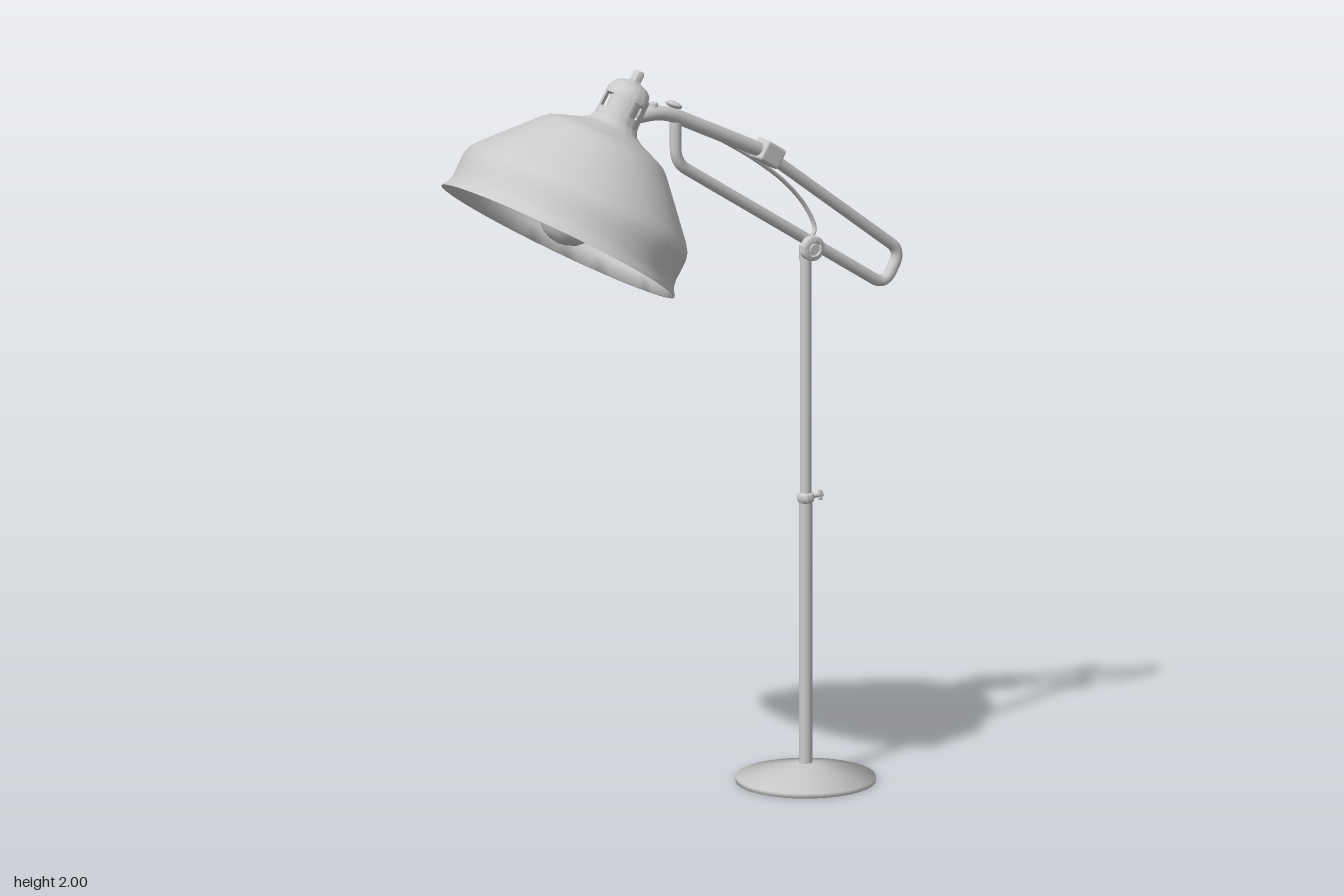
import * as THREE from 'three';
import { toCreasedNormals } from 'three/addons/utils/BufferGeometryUtils.js';
import { RoundedBoxGeometry } from 'three/addons/geometries/RoundedBoxGeometry.js';

const grey = new THREE.MeshStandardMaterial({ color: 0xcccccc });
const thin = new THREE.MeshStandardMaterial({ color: 0xcccccc, side: THREE.DoubleSide });
const V = (x, y, z = 0) => new THREE.Vector3(x, y, z);

function add(parent, name, geometry, position = [0, 0, 0], rotation = [0, 0, 0], material = grey) {
  const mesh = new THREE.Mesh(geometry, material);
  mesh.name = name;
  mesh.position.set(...position);
  mesh.rotation.set(...rotation);
  parent.add(mesh);
  return mesh;
}

// Turned part from [radius, height] pairs, listed from bottom to top
function turned(profile, segments = 48, start = 0, sweep = Math.PI * 2, crease = 0.8) {
  const points = profile.map(([r, y]) => new THREE.Vector2(r, y));
  return toCreasedNormals(new THREE.LatheGeometry(points, segments, start, sweep), crease);
}

// Polyline whose corners are rounded by the radius r
function roundedPath(points, r) {
  const path = new THREE.CurvePath();
  let from = points[0];
  for (let i = 1; i < points.length - 1; i++) {
    const p = points[i];
    const a = p.clone().add(points[i - 1].clone().sub(p).setLength(r));
    const b = p.clone().add(points[i + 1].clone().sub(p).setLength(r));
    path.add(new THREE.LineCurve3(from, a));
    path.add(new THREE.QuadraticBezierCurve3(a, p, b));
    from = b;
  }
  path.add(new THREE.LineCurve3(from, points[points.length - 1]));
  return path;
}

function makeStand() {
  const stand = new THREE.Group();
  stand.name = 'stand';
  stand.position.x = 0.388;
  // The base is shaded softly over its thin rim
  add(stand, 'base', turned([[0, 0], [0.183, 0], [0.183, 0.012], [0, 0.053]], 48, 0, Math.PI * 2, 1.8));
  add(stand, 'lowerPole', new THREE.CylinderGeometry(0.0172, 0.0172, 0.72, 24), [0, 0.405, 0]);
  add(stand, 'upperPole', new THREE.CylinderGeometry(0.0152, 0.0152, 0.69, 24), [0, 1.095, 0]);
  // Height clamp with its thumb screw
  add(stand, 'clampCollar', turned([[0.016, 0.75], [0.021, 0.754], [0.023, 0.764], [0.021, 0.774], [0.015, 0.778]], 24));
  add(stand, 'clampScrew', new THREE.CylinderGeometry(0.006, 0.006, 0.04, 12), [0.034, 0.764, 0], [0, 0, Math.PI / 2]);
  add(stand, 'clampWing', new RoundedBoxGeometry(0.01, 0.028, 0.012, 2, 0.003), [0.047, 0.764, 0]);
  // Pivot holding the arm
  add(stand, 'pivotPin', new THREE.CylinderGeometry(0.013, 0.013, 0.03, 24), [0, 1.443, 0.012], [Math.PI / 2, 0, 0]);
  add(stand, 'pivotKnob', turned([[0, 0], [0.033, 0], [0.033, 0.018], [0.029, 0.021], [0.021, 0.021],
    [0.019, 0.016], [0.013, 0.016], [0.012, 0.021], [0, 0.021]], 32), [0, 1.443, 0.02], [Math.PI / 2, 0, 0]);
  add(stand, 'pivotSocket', new THREE.CylinderGeometry(0.0175, 0.0175, 0.04, 24), [0, 1.425, 0]);
  return stand;
}

function makeArm() {
  const arm = new THREE.Group();
  arm.name = 'arm';
  // Long bent loop of tube
  const loop = roundedPath([V(-0.03, 1.845), V(-0.03, 1.733), V(0.641, 1.298), V(0.693, 1.383), V(0.25, 1.72)], 0.04);
  add(arm, 'loopTube', new THREE.TubeGeometry(loop, 160, 0.0155, 16, false));
  // Thicker sleeve reaching the lamp head
  const sleeve = roundedPath([V(-0.17, 1.877), V(-0.07, 1.879), V(0.25, 1.721)], 0.05);
  add(arm, 'sleeveTube', new THREE.TubeGeometry(sleeve, 60, 0.0192, 20, false));
  add(arm, 'slidingCollar', new RoundedBoxGeometry(0.07, 0.056, 0.056, 3, 0.008), [0.266, 1.712, 0], [0, 0, -0.58]);
  // Screws on top of the elbow
  add(arm, 'elbowScrewStem', new THREE.CylinderGeometry(0.007, 0.007, 0.04, 12), [-0.036, 1.873, 0], [0, 0, -0.46]);
  add(arm, 'elbowScrewHead', new THREE.SphereGeometry(0.023, 20, 10).scale(1, 0.4, 1), [-0.032, 1.889, -0.005], [0, 0, -0.46]);
  add(arm, 'elbowBolt', new THREE.CylinderGeometry(0.012, 0.014, 0.01, 16), [-0.1, 1.9, -0.003]);
  // Slack cable behind the arm
  const cable = new THREE.CatmullRomCurve3([V(0.1, 1.785, -0.016), V(0.25, 1.69, -0.032), V(0.36, 1.605, -0.047),
    V(0.43, 1.525, -0.054), V(0.45, 1.468, -0.046), V(0.42, 1.447, -0.03), V(0.388, 1.443, -0.01)]);
  add(arm, 'cable', new THREE.TubeGeometry(cable, 64, 0.0058, 8, false));
  return arm;
}

function makeHead() {
  const head = new THREE.Group();
  head.name = 'lampHead';
  head.position.set(-0.408, 1.58, 0);
  head.rotation.z = -0.563;
  // Bell shade with a softly flared rim and a thin wall: down the inside, then up the outside
  const outer = [[0.337, 0], [0.335, 0.006], [0.328, 0.015], [0.323, 0.028], [0.321, 0.042], [0.322, 0.075],
    [0.322, 0.1], [0.317, 0.12], [0.303, 0.141], [0.24, 0.211], [0.182, 0.275], [0.165, 0.29], [0.145, 0.299],
    [0.088, 0.321], [0.069, 0.332], [0.061, 0.348]];
  const inner = outer.slice(4).reverse().map(([r, y]) => [r - 0.004, y - 0.004]);
  add(head, 'shade', turned([...inner, [0.33, 0.001], ...outer], 64, 0, Math.PI * 2, 1.2));

  // Vented neck: a lower band, four wall pieces with slots between, and a domed cap
  add(head, 'neckBand', turned([[0.061, 0.345], [0.06, 0.37], [0.042, 0.37]]), [0, 0, 0], [0, 0, 0], thin);
  const gap = 0.52;
  for (let i = 0; i < 4; i++) {
    const wall = turned([[0.042, 0.368], [0.06, 0.368], [0.059, 0.412], [0.042, 0.412]], 10, gap / 2, Math.PI / 2 - gap);
    add(head, 'neckWall', wall, [0, 0, 0], [0, i * Math.PI / 2, 0], thin);
  }
  add(head, 'neckCore', new THREE.CylinderGeometry(0.042, 0.042, 0.09, 32), [0, 0.375, 0]);
  add(head, 'neckCap', turned([[0, 0.41], [0.059, 0.41], [0.059, 0.426], [0.055, 0.431], [0.051, 0.444],
    [0.04, 0.454], [0.02, 0.462], [0.015, 0.466], [0.015, 0.488], [0.011, 0.494], [0, 0.495]]));

  // Socket and bulb inside the shade
  add(head, 'bulbSocket', new THREE.CylinderGeometry(0.035, 0.035, 0.13, 24), [0, 0.275, 0]);
  add(head, 'bulb', turned([[0, -0.004], [0.025, 0], [0.049, 0.011], [0.069, 0.031], [0.081, 0.055], [0.085, 0.08],
    [0.081, 0.107], [0.068, 0.138], [0.048, 0.172], [0.036, 0.2], [0.033, 0.225]], 32));
  return head;
}

export function createModel() {
  const lamp = new THREE.Group();
  lamp.name = 'floorLamp';
  lamp.add(makeStand(), makeArm(), makeHead());
  return lamp;
}
